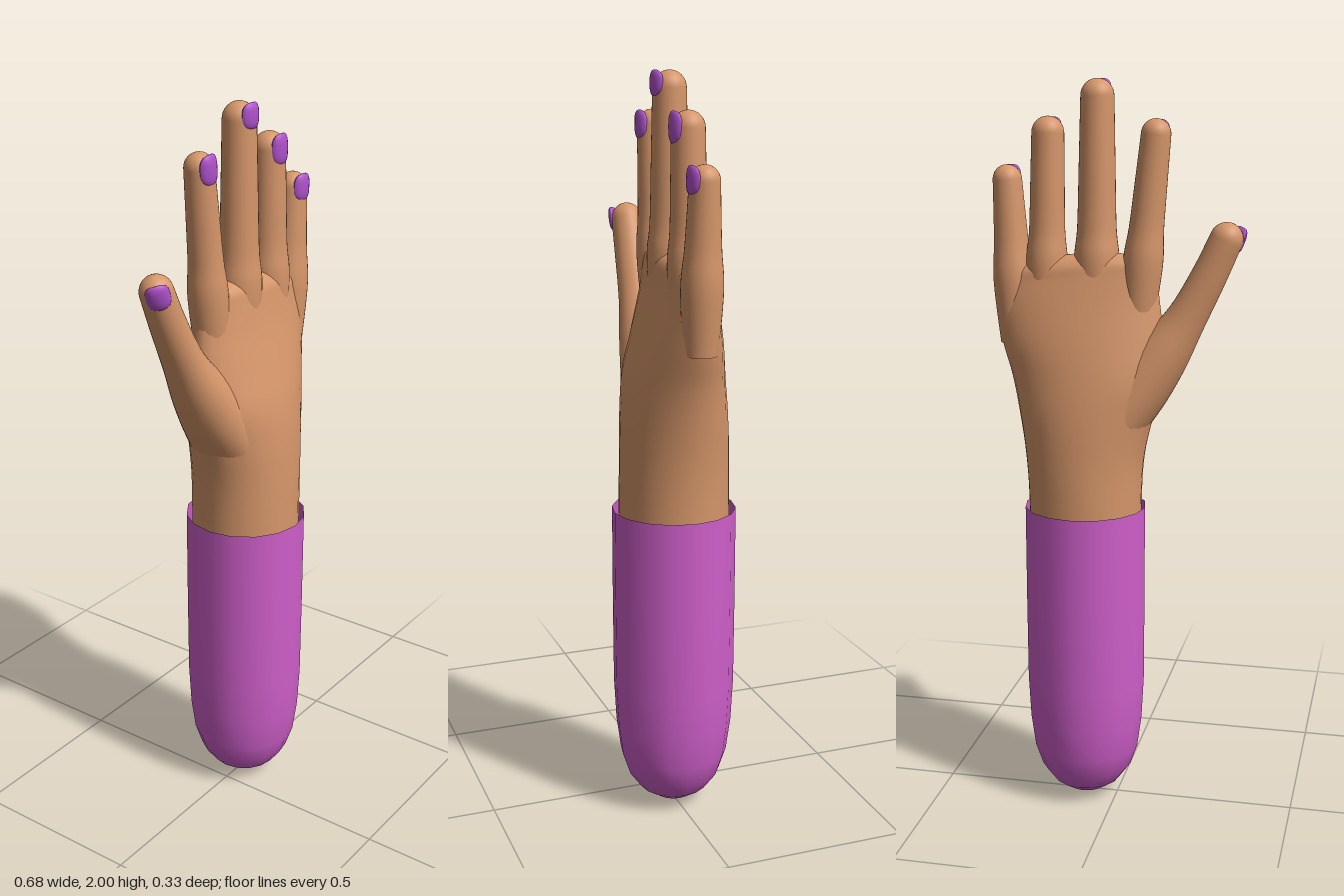
import * as THREE from 'three';

const skin = new THREE.MeshStandardMaterial({ color: 0xd6966a });
const cloth = new THREE.MeshStandardMaterial({ color: 0xcf5fca, side: THREE.DoubleSide });
const polish = new THREE.MeshStandardMaterial({ color: 0xb052cc });

const SIDES = 32;

// Smooth loft through rows of [x, y, z, rx, rz, tilt], closed at the top by a dome of the given height
function loft(name, rows, domeHeight) {
  const place = new THREE.CatmullRomCurve3(rows.map(r => new THREE.Vector3(r[0], r[1], r[2])), false, 'catmullrom');
  const shape = new THREE.CatmullRomCurve3(rows.map(r => new THREE.Vector3(r[3], r[4], r[5])), false, 'catmullrom');
  const rings = [];
  const steps = (rows.length - 1) * 5;
  for (let i = 0; i <= steps; i++) rings.push([place.getPoint(i / steps), shape.getPoint(i / steps)]);
  const [end, size] = rings[steps];
  for (let k = 1; k <= 8; k++) {
    const a = (k / 8) * Math.PI / 2;
    const up = new THREE.Vector3(-Math.sin(size.z), Math.cos(size.z), 0);
    const c = Math.max(Math.cos(a), 0.001);
    rings.push([up.multiplyScalar(domeHeight * Math.sin(a)).add(end), new THREE.Vector3(size.x * c, size.y * c, size.z)]);
  }

  const points = [], faces = [];
  rings.forEach(([p, s], j) => {
    for (let i = 0; i < SIDES; i++) {
      const a = (i / SIDES) * Math.PI * 2;
      const across = Math.cos(a) * s.x;
      points.push(p.x + across * Math.cos(s.z), p.y + across * Math.sin(s.z), p.z + Math.sin(a) * s.y);
      if (j === rings.length - 1) continue;
      const b = j * SIDES + i, n = j * SIDES + (i + 1) % SIDES;
      faces.push(b, b + SIDES, n, n, b + SIDES, n + SIDES);
    }
  });
  const geo = new THREE.BufferGeometry();
  geo.setAttribute('position', new THREE.Float32BufferAttribute(points, 3));
  geo.setIndex(faces);
  geo.computeVertexNormals();
  const mesh = new THREE.Mesh(geo, skin);
  mesh.name = name;
  return mesh;
}

// Squared-off flat pebble for a nail
function nail(name, x, y, z, h, turn = 0, lean = 0) {
  const geo = new THREE.SphereGeometry(1, 20, 14);
  const p = geo.attributes.position;
  const square = v => Math.sign(v) * Math.pow(Math.abs(v), 0.7);
  for (let i = 0; i < p.count; i++) {
    const px = square(p.getX(i)), py = square(p.getY(i));
    // The sides bend back around the finger
    p.setXYZ(i, px * 0.031, py * h / 2, p.getZ(i) * 0.011 - px * px * 0.009);
  }
  geo.computeVertexNormals();
  const mesh = new THREE.Mesh(geo, polish);
  mesh.name = name;
  mesh.position.set(x, y, z);
  mesh.rotation.set(0, turn, lean, 'ZYX');
  return mesh;
}

export function createModel() {
  const model = new THREE.Group();
  model.name = 'hand';

  // Sleeve: open tube with a rounded closed end
  const profile = [[0.001, 0], [0.05, 0.015], [0.095, 0.045], [0.128, 0.09], [0.148, 0.15], [0.16, 0.24],
    [0.166, 0.36], [0.167, 0.6], [0.167, 0.86]].map(p => new THREE.Vector2(...p));
  const sleeve = new THREE.Mesh(new THREE.LatheGeometry(profile, 16), cloth);
  sleeve.name = 'sleeve';
  sleeve.position.x = 0.09;
  model.add(sleeve);

  // Forearm, wrist and palm
  model.add(loft('palm', [
    [0.09, 0.6, 0, 0.153, 0.148, 0],
    [0.09, 0.86, 0, 0.155, 0.148, 0],
    [0.09, 1.0, 0, 0.163, 0.145, 0],
    [0.085, 1.12, 0, 0.185, 0.138, 0],
    [0.08, 1.22, 0, 0.21, 0.124, 0],
    [0.095, 1.32, -0.003, 0.222, 0.101, -0.02],
    [0.107, 1.42, -0.004, 0.222, 0.075, -0.06],
    [0.107, 1.5, -0.002, 0.212, 0.056, -0.1],
  ], 0.05));

  // Fingers: base x, tip x, z, top, base radius, tip radius, web height, nail height and length
  const fingers = [
    ['index', -0.073, -0.103, -0.008, 1.9, 0.046, 0.039, 1.56, 1.86, 0.076],
    ['middle', 0.056, 0.053, 0, 2.0, 0.052, 0.044, 1.56, 1.967, 0.066],
    ['ring', 0.192, 0.186, 0, 1.905, 0.048, 0.043, 1.55, 1.863, 0.08],
    ['little', 0.287, 0.298, 0, 1.78, 0.047, 0.039, 1.51, 1.743, 0.072],
  ];
  for (const [name, bx, tx, z, top, br, tr, web, ny, nh] of fingers) {
    const lean = Math.atan2(bx - tx, top - web);
    const at = (y, r) => [THREE.MathUtils.lerp(bx, tx, (y - web) / (top - tr - web)), y, z, r, r, lean];
    model.add(loft(name + 'Finger', [
      at(web - 0.2, br * 0.95),
      at(web - 0.08, br * 1.12),
      at(web - 0.01, br * 1.14),
      at(web + 0.06, br),
      at(web + (top - web) * 0.5, (br + tr) / 2),
      at(top - tr, tr),
    ], tr));
    model.add(nail(name + 'Nail', tx, ny, z + tr - 0.004, nh, 0, lean));
  }

  // Thumb, widening into the side of the palm
  model.add(loft('thumb', [
    [0.0, 1.1, 0, 0.08, 0.11, 0.4],
    [-0.06, 1.2, 0, 0.085, 0.095, 0.45],
    [-0.122, 1.29, 0, 0.073, 0.078, 0.5],
    [-0.185, 1.385, 0, 0.054, 0.058, 0.55],
    [-0.245, 1.5, 0, 0.047, 0.048, 0.5],
    [-0.288, 1.595, 0, 0.044, 0.043, 0.42],
  ], 0.045));
  model.add(nail('thumbNail', -0.317, 1.592, 0.029, 0.068, -0.8, 0.35));

  return model;
}
